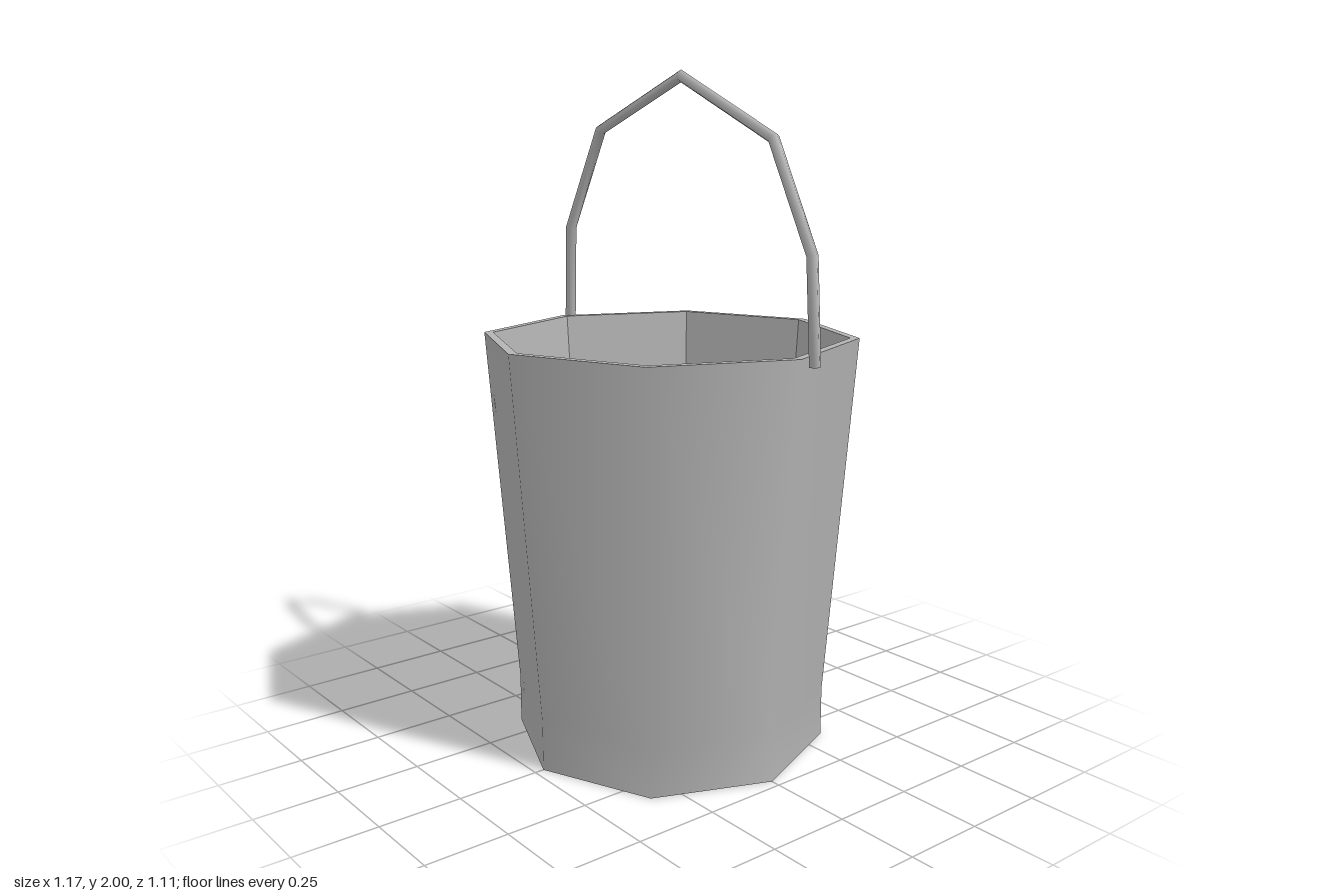
import * as THREE from 'three';

const SIDES = 8;

export function createModel() {
  const model = new THREE.Group();
  const metal = new THREE.MeshStandardMaterial({ color: 0xb4b4b4 });
  metal.name = 'grey metal';

  const add = (name, geometry, parent) => {
    const mesh = new THREE.Mesh(geometry, metal);
    mesh.name = name;
    parent.add(mesh);
    return mesh;
  };
  const lathe = (...points) =>
    new THREE.LatheGeometry(points.map(([r, y]) => new THREE.Vector2(r, y)), SIDES);
  const flat = (geometry) => {
    const g = geometry.toNonIndexed();
    g.computeVertexNormals();
    return g;
  };

  // Bucket: smooth octagonal outside, faceted inside, flat rim and floors
  const bucket = new THREE.Group();
  bucket.name = 'bucket';
  model.add(bucket);
  add('outerWall', lathe([0.472, 0], [0.472, 0.15], [0.557, 1.24]), bucket);
  add('rim', flat(lathe([0.557, 1.24], [0.53, 1.24])), bucket);
  add('innerWall', flat(lathe([0.53, 1.24], [0.447, 0.15])), bucket);
  const floor = add('floor', new THREE.CircleGeometry(0.447, SIDES), bucket);
  floor.rotation.x = -Math.PI / 2;
  floor.position.y = 0.15;
  const base = add('base', new THREE.CircleGeometry(0.472, SIDES), bucket);
  base.rotation.x = Math.PI / 2;

  // Handle: slim hexagonal bar bent at a few points
  const path = [
    [-0.571, 1.215, -0.042], [-0.555, 1.525, -0.039], [-0.387, 1.832, -0.039],
    [0.005, 1.983, -0.039], [0.395, 1.81, -0.039], [0.553, 1.51, -0.036], [0.566, 1.215, -0.042],
  ].map((p) => new THREE.Vector3(...p));
  add('handle', bentBar(path, 0.0165, 6), model);

  return model;
}

// Sweeps a regular polygon along a path, with mitred bends and capped ends
function bentBar(path, radius, sides) {
  const positions = [];
  const index = [];
  const last = path.length - 1;
  const depth = new THREE.Vector3(0, 0, 1);
  const rings = path.map((p, i) => {
    const before = path[i].clone().sub(path[Math.max(i - 1, 0)]).normalize();
    const after = path[Math.min(i + 1, last)].clone().sub(path[i]).normalize();
    const tangent = before.clone().add(after).normalize();
    const across = new THREE.Vector3(-tangent.y, tangent.x, 0).normalize();
    const mitre = radius / tangent.dot(i < last ? after : before);
    return Array.from({ length: sides }, (_, k) => {
      const a = (k / sides) * Math.PI * 2;
      return p.clone()
        .addScaledVector(across, Math.cos(a) * mitre)
        .addScaledVector(depth, Math.sin(a) * radius);
    });
  });

  rings.forEach((ring) => ring.forEach((v) => positions.push(v.x, v.y, v.z)));
  for (let i = 0; i < last; i++) {
    for (let k = 0; k < sides; k++) {
      const a = i * sides + k;
      const b = i * sides + ((k + 1) % sides);
      index.push(a, b, a + sides, b, b + sides, a + sides);
    }
  }
  // End caps with their own corners, so their edges stay sharp
  [[rings[0], true], [rings[last], false]].forEach(([ring, start]) => {
    const o = positions.length / 3;
    ring.forEach((v) => positions.push(v.x, v.y, v.z));
    for (let k = 1; k < sides - 1; k++) {
      index.push(o, start ? o + k + 1 : o + k, start ? o + k : o + k + 1);
    }
  });

  const geometry = new THREE.BufferGeometry();
  geometry.setAttribute('position', new THREE.Float32BufferAttribute(positions, 3));
  geometry.setIndex(index);
  geometry.computeVertexNormals();
  return geometry;
}
